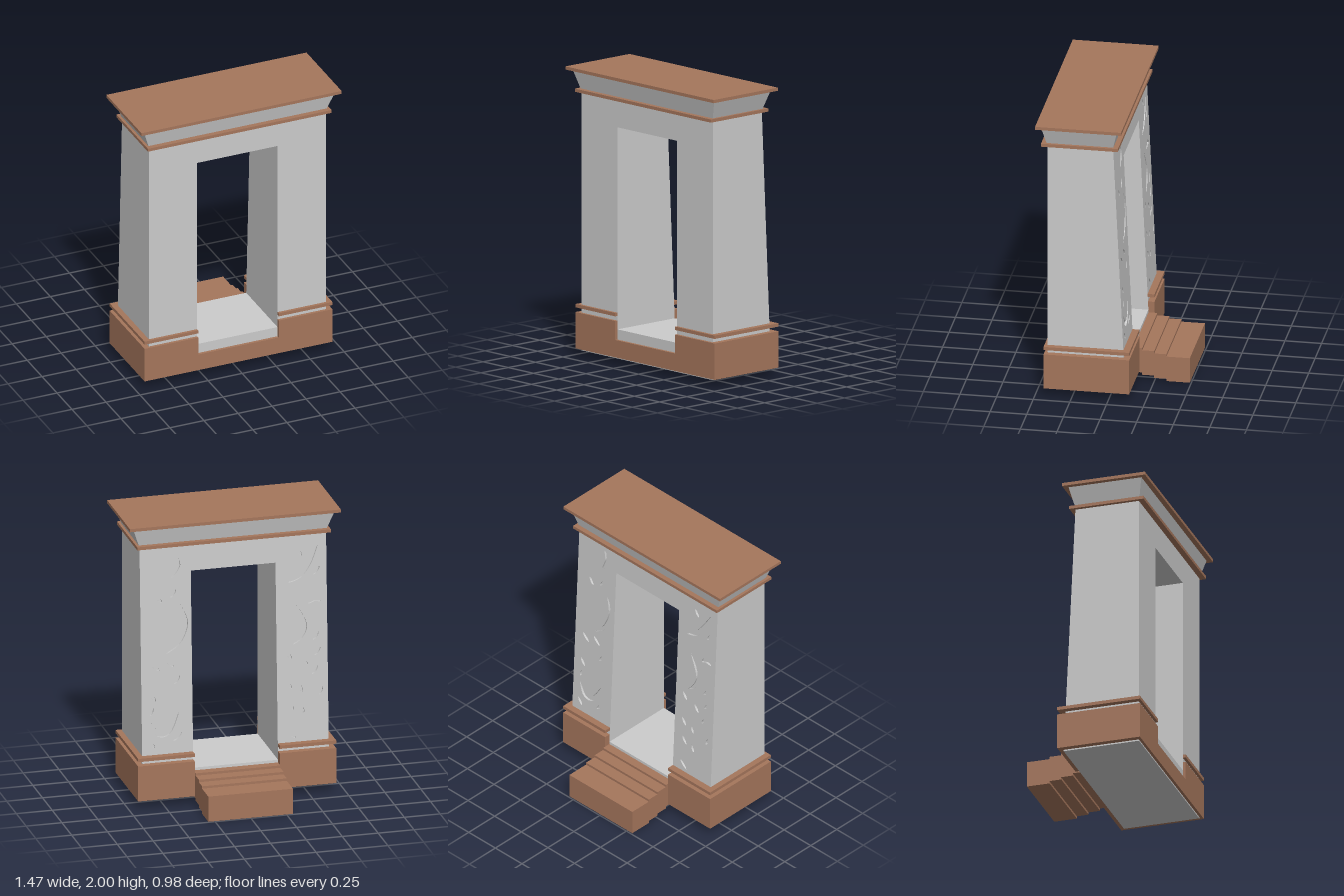
import * as THREE from 'three';

const GREY = new THREE.MeshStandardMaterial({ color: 0xcccccc, flatShading: true });
const BROWN = new THREE.MeshStandardMaterial({ color: 0xa5765c, flatShading: true });

const FRONT = 0.42;
// the rear face leans inwards as it rises
const rear = (y) => -0.113 + (y - 0.05) * 0.047;

function add(parent, name, geometry, material) {
  const mesh = new THREE.Mesh(geometry, material);
  mesh.name = name;
  parent.add(mesh);
  return mesh;
}

// box given by its limits on each axis
function block(parent, name, [x0, x1], [y0, y1], [z0, z1], material) {
  const g = new THREE.BoxGeometry(x1 - x0, y1 - y0, z1 - z0);
  g.translate((x0 + x1) / 2, (y0 + y1) / 2, (z0 + z1) / 2);
  return add(parent, name, g, material);
}

function rectangle(x0, x1, y0, y1, Type = THREE.Shape) {
  const s = new Type();
  s.moveTo(x0, y0);
  s.lineTo(x1, y0);
  s.lineTo(x1, y1);
  s.lineTo(x0, y1);
  s.closePath();
  return s;
}

// upright slab whose rear and front surfaces follow a rule in y
function slab(shape, back, front) {
  const g = new THREE.ExtrudeGeometry(shape, { depth: 1, bevelEnabled: false });
  const p = g.attributes.position;
  for (let i = 0; i < p.count; i++) {
    const y = p.getY(i);
    p.setZ(i, p.getZ(i) < 0.5 ? back(y) : front(y));
  }
  g.computeVertexNormals();
  return g;
}

// tapered, curved groove outline running through a few points
function groove(points, width) {
  const curve = new THREE.SplineCurve(points.map(([x, y]) => new THREE.Vector2(x, y)));
  const n = points.length > 2 ? 14 : 6;
  const one = [], two = [];
  for (let i = 0; i <= n; i++) {
    const t = i / n, c = curve.getPoint(t), d = curve.getTangent(t);
    const w = width * Math.sin(Math.PI * t) / 2;
    one.push(new THREE.Vector2(c.x - d.y * w, c.y + d.x * w));
    if (i > 0 && i < n) two.unshift(new THREE.Vector2(c.x + d.y * w, c.y - d.x * w));
  }
  return new THREE.Path(one.concat(two));
}

// long carved strokes and small chips (x, y, lean) on each pillar
const STROKES = [
  [[0.41, 1.77], [0.385, 1.69], [0.43, 1.6]],
  [[0.37, 1.41], [0.335, 1.28], [0.38, 1.15], [0.47, 1.07]],
  [[0.59, 0.6], [0.54, 0.51], [0.46, 0.52], [0.39, 0.65]],
  [[-0.59, 1.74], [-0.53, 1.62], [-0.46, 1.53], [-0.38, 1.49]],
  [[-0.42, 1.35], [-0.49, 1.2], [-0.47, 1.11], [-0.41, 1.05]],
  [[-0.52, 1.33], [-0.56, 1.36], [-0.61, 1.34]],
];
const CHIPS = [
  [0.52, 1.46, 0.02], [0.42, 1.49, -0.02], [0.55, 0.98, 0.03], [0.45, 1.0, 0.03],
  [0.4, 0.88, -0.02], [0.57, 0.77, 0.02], [0.58, 0.67, -0.01], [0.4, 0.48, -0.03],
  [0.58, 0.44, 0.02], [-0.46, 1.7, 0.02], [-0.58, 1.56, -0.02], [-0.57, 1.1, -0.02],
  [-0.38, 0.98, 0.02], [-0.49, 0.93, 0.02], [-0.58, 0.99, -0.02], [-0.38, 0.77, 0.02],
  [-0.46, 0.74, 0.01], [-0.56, 0.86, -0.02], [-0.39, 0.62, 0.02], [-0.47, 0.59, 0.01],
  [-0.6, 0.71, -0.01], [-0.39, 0.42, 0.03],
];

export function createModel() {
  const gate = new THREE.Group();
  gate.name = 'stoneGateway';

  // wall with the doorway, covered at the rear by a carved skin
  const wall = () => {
    const s = rectangle(-0.65, 0.65, 0.05, 1.84);
    s.holes.push(rectangle(-0.295, 0.295, 0.25, 1.64, THREE.Path));
    return s;
  };
  const core = (y) => rear(y) + 0.015;
  add(gate, 'gateWall', slab(wall(), core, () => FRONT), GREY);
  const carved = wall();
  STROKES.forEach((s) => carved.holes.push(groove(s, 0.035)));
  CHIPS.forEach(([x, y, lean]) =>
    carved.holes.push(groove([[x - lean, y - 0.028], [x + lean, y + 0.028]], 0.022)));
  add(gate, 'carvedRearFace', slab(carved, rear, core), GREY);

  // plinths and pillar bands, one set per side
  for (const side of [-1, 1]) {
    const xs = [0.296 * side, 0.69 * side].sort((a, b) => a - b);
    const label = side > 0 ? 'left' : 'right';
    block(gate, label + 'Plinth', xs, [0.06, 0.31], [-0.145, 0.44], BROWN);
    block(gate, label + 'PillarBand', xs, [0.342, 0.365], [-0.145, 0.44], BROWN);
  }
  block(gate, 'thresholdPlinth', [-0.296, 0.296], [0.06, 0.18], [0.3, 0.44], BROWN);

  // rear steps, each lower than the one before
  const steps = new THREE.Group();
  steps.name = 'steps';
  gate.add(steps);
  const edges = [-0.1, -0.165, -0.247, -0.33, -0.49];
  for (let i = 0; i < 4; i++) {
    const y = 0.051 - i * 0.017;
    block(steps, 'step' + (i + 1), [-0.295, 0.295], [y, y + 0.18], [edges[i + 1], edges[i]], BROWN);
  }

  // cornice: band, flared block and cap plate
  block(gate, 'corniceBand', [-0.675, 0.675], [1.83, 1.852], [-0.065, 0.46], BROWN);
  const flare = new THREE.BoxGeometry(1, 1, 1);
  const p = flare.attributes.position;
  for (let i = 0; i < p.count; i++) {
    const top = p.getY(i) > 0;
    p.setXYZ(i, Math.sign(p.getX(i)) * (top ? 0.702 : 0.655), top ? 1.98 : 1.85,
      p.getZ(i) > 0 ? (top ? 0.455 : 0.425) : (top ? -0.062 : -0.03));
  }
  flare.computeVertexNormals();
  add(gate, 'flaredCornice', flare, GREY);
  block(gate, 'capPlate', [-0.735, 0.735], [1.978, 2], [-0.097, 0.49], BROWN);

  return gate;
}
